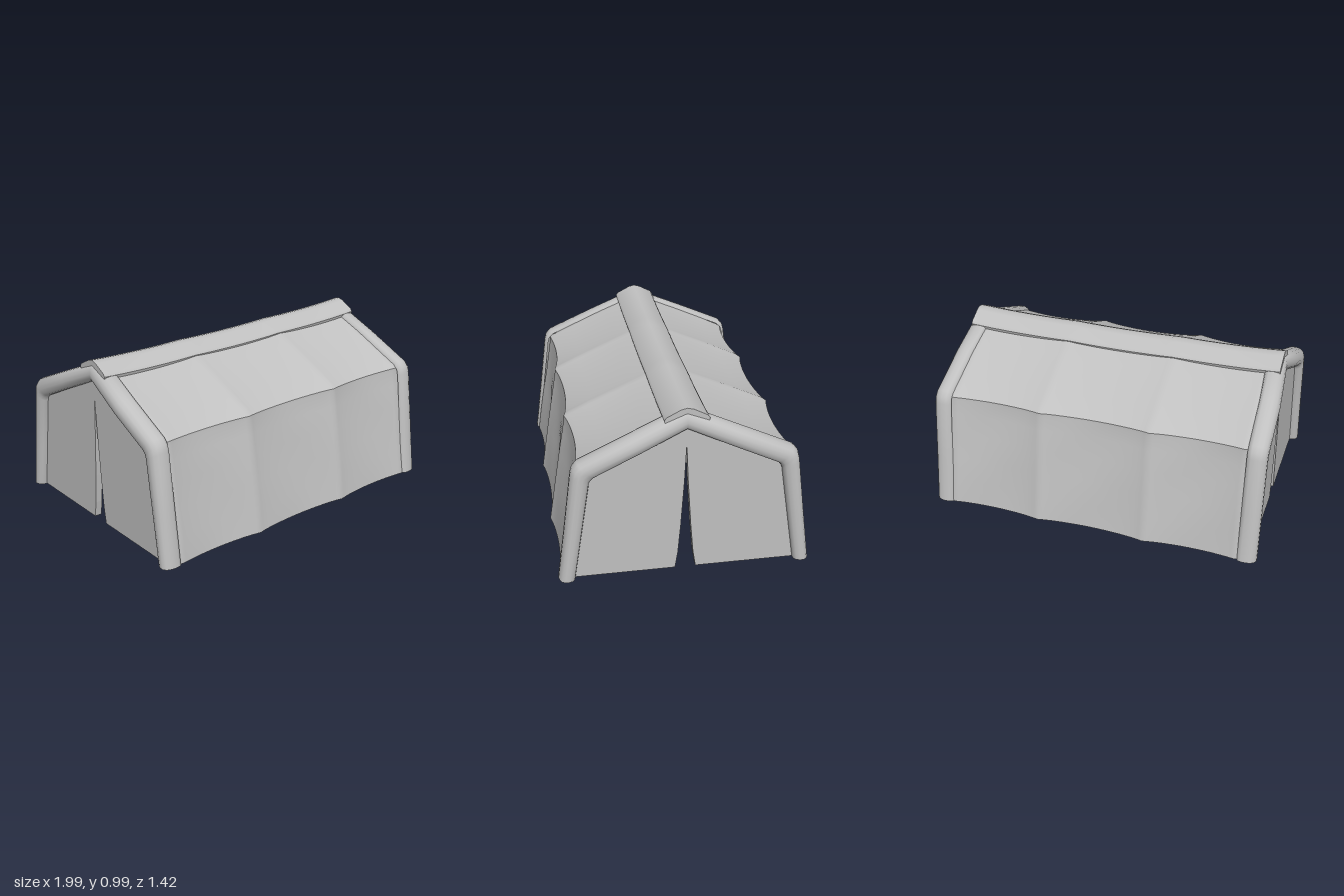
import * as THREE from 'three';
import { toCreasedNormals } from 'three/addons/utils/BufferGeometryUtils.js';

const RIB = 0.33; // spacing of the inner ribs from the centre
const END = 0.95;

// Slack of the fabric: 0 at every rib, 1 in the middle of each bay
function slack(x) {
  const a = Math.abs(x);
  const f = a < RIB ? (a + RIB) / (2 * RIB) : Math.min((a - RIB) / (0.93 - RIB), 1);
  return Math.pow(Math.max(Math.sin(Math.PI * f), 0), 0.65);
}

// Lofted sheet: point(i, j) gives the [x, y, z] of each grid vertex
function sheet(nx, ny, crease, point) {
  const g = new THREE.PlaneGeometry(1, 1, nx, ny);
  for (let j = 0; j <= ny; j++) {
    for (let i = 0; i <= nx; i++) g.attributes.position.setXYZ(j * (nx + 1) + i, ...point(i, j));
  }
  return toCreasedNormals(g, crease);
}

// Extrudes a [z, y] outline along x, centred on x = 0
function extrudeX(points, depth, steps = 1) {
  const shape = new THREE.Shape(points.map(([a, b]) => new THREE.Vector2(a, b)));
  const g = new THREE.ExtrudeGeometry(shape, { depth, steps, bevelEnabled: false });
  return g.translate(0, 0, -depth / 2).rotateY(Math.PI / 2);
}

const mirrored = (half) => [...half, ...half.slice(0, -1).reverse().map(([z, y]) => [-z, y])];

export function createModel() {
  const group = new THREE.Group();
  group.name = 'tent';
  const canvas = new THREE.MeshStandardMaterial({ color: 0xc0c0c0, side: THREE.DoubleSide });
  canvas.name = 'grey canvas';
  const add = (name, geometry) => {
    const mesh = new THREE.Mesh(geometry, canvas);
    mesh.name = name;
    group.add(mesh);
    return mesh;
  };

  // Walls and roof: one half section from the ground to the ridge, lofted along x
  const section = [
    [0.71, 0.004], [0.688, 0.15], [0.664, 0.3], [0.64, 0.45], [0.618, 0.58], [0.604, 0.665],
    [0.603, 0.69], [0.575, 0.712], [0.46, 0.765], [0.34, 0.818], [0.22, 0.87], [0.1, 0.922], [0, 0.955],
  ];
  const ny = section.length - 1;
  const nx = 76;
  for (const side of [1, -1]) {
    const cover = sheet(nx, ny, 0.6, (i, j) => {
      const x = side * END * ((2 * i) / nx - 1);
      const [z, y] = section[ny - j];
      const s = slack(x);
      const wall = y < 0.7;
      // soft folds that fade out towards the eave and ground
      const fold = wall ? 0.007 * Math.sin(x * 9 + y * 11 + side) * Math.sin((y / 0.7) * Math.PI) * s : 0;
      const pull = wall ? (0.03 + 0.008 * y) * s : 0.034 * s * (z / 0.6);
      const drop = wall ? (y > 0.68 ? 0.006 * s : 0) : 0.012 * s;
      // the cover tucks in under the end frames
      const tuck = Math.abs(x) > 0.88 ? 0.012 : 0;
      return [x, y - (wall ? 0 : tuck) - drop, side * Math.max(0, z - pull + fold - (z > 0 && wall ? tuck : 0))];
    });
    add(side > 0 ? 'frontCover' : 'backCover', cover);
  }

  // Ridge cap, dipping a little between the ends
  const cap = extrudeX(mirrored([[0.115, 0.905], [0.122, 0.93], [0.112, 0.946], [0.035, 0.986], [0, 0.995]]), 1.91, 36);
  const cp = cap.attributes.position;
  for (let i = 0; i < cp.count; i++) {
    const x = cp.getX(i);
    cp.setY(i, cp.getY(i) - 0.014 * (1 - (x / 0.955) ** 2) - 0.006 * slack(x));
  }
  add('ridgeCap', toCreasedNormals(cap, 0.6));

  // Rounded arch frames: a hollow skin running from the cover round to the doors
  const outer = mirrored([[0.708, 0.002], [0.668, 0.3], [0.623, 0.65], [0.612, 0.69], [0.585, 0.72], [0.3, 0.848], [0, 0.98]]);
  const inner = mirrored([[0.618, 0.002], [0.572, 0.3], [0.526, 0.595], [0.519, 0.615], [0.502, 0.633], [0.25, 0.755], [0, 0.872]]);
  // x and the share of the way from the outer to the inner outline
  const skin = [
    [0.885, 0.2], [0.893, 0.07], [0.91, 0.01], [0.94, 0], [0.965, 0.05], [0.985, 0.17],
    [0.996, 0.36], [0.997, 0.6], [0.99, 0.82], [0.977, 0.95], [0.96, 1], [0.935, 1],
  ];
  // Door flap outline, whose last points follow the opening
  const opening = [[0, 0.78], [0.01, 0.56], [0.028, 0.28], [0.043, 0.1], [0.058, 0.004]];
  const flap = [[0.64, 0.004], [0.55, 0.63], [0, 0.89], ...opening];
  const hemBack = opening.slice(1).reverse().map(([z, y]) => [z + 0.012, y]);

  for (const end of [1, -1]) {
    const sideName = end > 0 ? 'left' : 'right';
    const last = outer.length - 1;
    add(sideName + 'Frame', sheet(last, skin.length - 1, 0.9, (i, j) => {
      const k = end > 0 ? last - i : i;
      const [x, w] = skin[j];
      const z = THREE.MathUtils.lerp(outer[k][0], inner[k][0], w);
      const y = THREE.MathUtils.lerp(outer[k][1], inner[k][1], w);
      // the arch leans inwards near the ridge
      return [end * (x - 0.028 * THREE.MathUtils.smoothstep(y, 0.76, 0.97)), y, z];
    }));

    // Split door flaps with a folded hem along the opening
    for (const half of [1, -1]) {
      const flip = (points) => points.map(([z, y]) => [half * z, y]);
      const halfName = sideName + (half > 0 ? 'Back' : 'Front');
      add(halfName + 'Flap', extrudeX(flip(flap), 0.012).translate(end * 0.944, 0, 0));
      add(halfName + 'Hem', extrudeX(flip([...opening, ...hemBack]), 0.03).translate(end * 0.923, 0, 0));
    }
  }
  return group;
}
